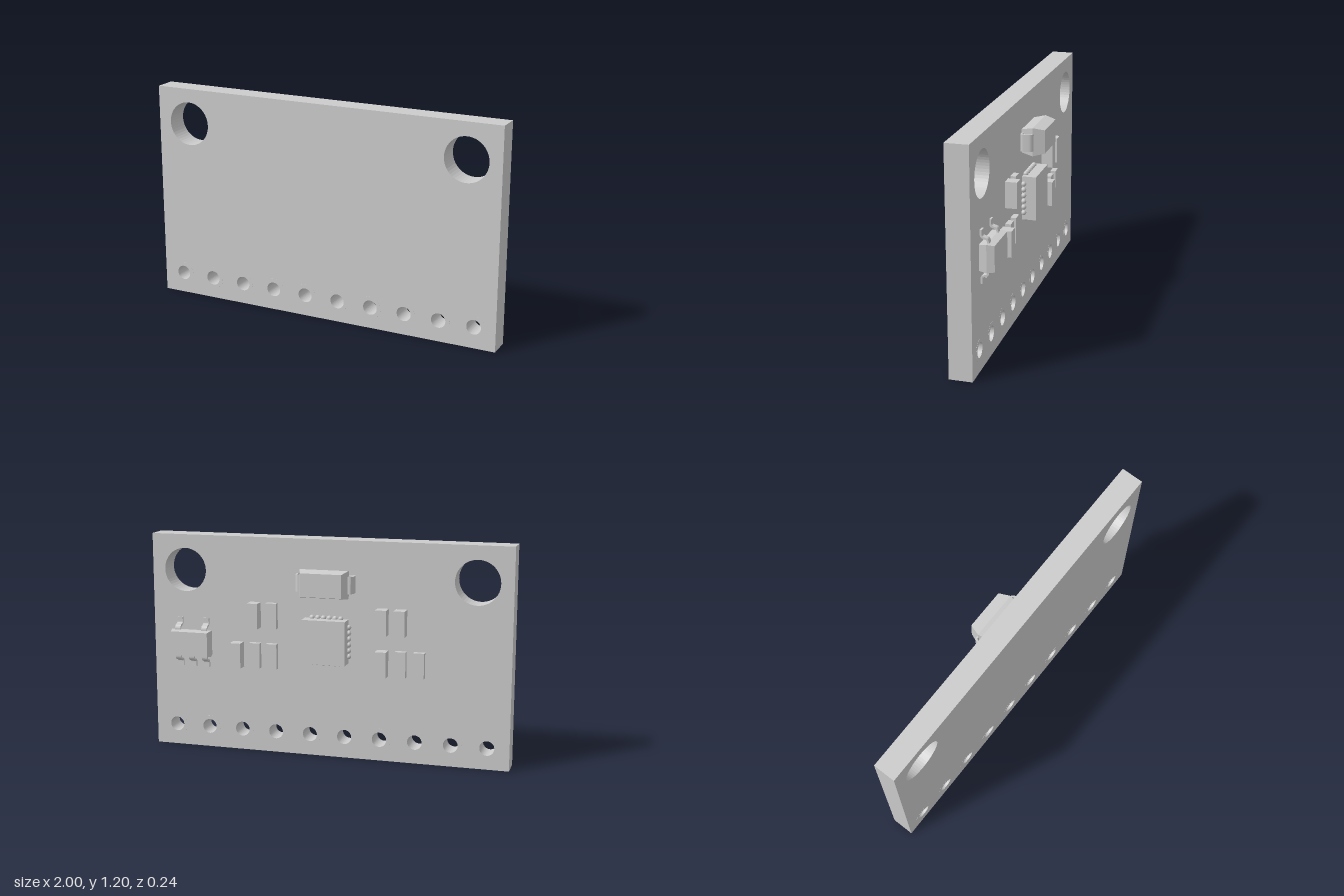
import * as THREE from 'three';

const material = new THREE.MeshStandardMaterial({ color: 0xcccccc });

function add(parent, name, geometry, x = 0, y = 0, z = 0) {
  const mesh = new THREE.Mesh(geometry, material);
  mesh.name = name;
  mesh.position.set(x, y, z);
  parent.add(mesh);
  return mesh;
}

function circle(x, y, r) {
  return new THREE.Path().absarc(x, y, r, 0, Math.PI * 2, true);
}

// Box standing out from the back face, given its footprint centre and height
function backBox(parent, name, x, y, w, h, d) {
  return add(parent, name, new THREE.BoxGeometry(w, h, d), x, y, -d / 2);
}

// Moulded package: rectangular base, wider waist and narrower top, rising towards -z
function mouldedBody(base, waist, top, height) {
  const g = new THREE.BoxGeometry(2, 2, 2, 1, 1, 2).toNonIndexed();
  const p = g.attributes.position;
  for (let i = 0; i < p.count; i++) {
    const z = p.getZ(i);
    const half = z > 0.5 ? base : z < -0.5 ? top : waist;
    p.setXYZ(i, p.getX(i) * half[0], p.getY(i) * half[1], (z - 1) * height / 2);
  }
  g.computeVertexNormals();
  return g;
}

// Bent metal strip: profile is [outward, height], outward is +y and height is -z
function leadGeometry(profile, thickness, width) {
  const curve = new THREE.CatmullRomCurve3(
    profile.map(([u, v]) => new THREE.Vector3(u, v, 0)), false, 'catmullrom', 0.3);
  const upper = [], lower = [];
  for (let i = 0; i <= 20; i++) {
    const p = curve.getPoint(i / 20), t = curve.getTangent(i / 20);
    const n = new THREE.Vector2(-t.y, t.x).multiplyScalar(thickness / 2);
    upper.push(new THREE.Vector2(p.x + n.x, p.y + n.y));
    lower.unshift(new THREE.Vector2(p.x - n.x, p.y - n.y));
  }
  const g = new THREE.ExtrudeGeometry(new THREE.Shape([...upper, ...lower]),
    { depth: width, bevelEnabled: false });
  g.translate(0, 0, -width / 2);
  return g.applyMatrix4(new THREE.Matrix4().makeBasis(
    new THREE.Vector3(0, 1, 0), new THREE.Vector3(0, 0, -1), new THREE.Vector3(-1, 0, 0)));
}

export function createModel() {
  const model = new THREE.Group();
  model.name = 'sensorBoard';
  const thickness = 0.122;
  const pinY = 0.117;
  const pinXs = Array.from({ length: 10 }, (_, i) => (i - 4.5) * 0.1955);

  // Circuit board with two mounting holes and a row of pin holes
  const outline = new THREE.Shape();
  outline.moveTo(-1, 0).lineTo(1, 0).lineTo(1, 1.195).lineTo(-1, 1.195).closePath();
  for (const x of [-0.81, 0.81]) outline.holes.push(circle(x, 1.0, 0.12));
  for (const x of pinXs) outline.holes.push(circle(x, pinY, 0.062));
  add(model, 'board', new THREE.ExtrudeGeometry(outline,
    { depth: thickness, bevelEnabled: false, curveSegments: 24 }));

  // Plated eyelets lining the pin holes, barely proud of both faces
  const ring = new THREE.Shape().absarc(0, 0, 0.062, 0, Math.PI * 2, false);
  ring.holes.push(circle(0, 0, 0.04));
  const eyelet = new THREE.ExtrudeGeometry(ring,
    { depth: thickness + 0.001, bevelEnabled: false, curveSegments: 24 });
  for (const x of pinXs) add(model, 'pinEyelet', eyelet, x, pinY, -0.0005);

  // Square sensor chip with six solder bumps on every side
  const chip = new THREE.Group();
  chip.name = 'sensorChip';
  chip.position.set(0, 0.65, 0);
  model.add(chip);
  backBox(chip, 'chipBody', 0, 0, 0.24, 0.24, 0.077);
  const bump = new THREE.SphereGeometry(0.014, 12, 8);
  for (let side = 0; side < 4; side++) {
    const row = new THREE.Group();
    row.name = 'solderRow';
    row.rotation.z = side * Math.PI / 2;
    chip.add(row);
    for (let i = 0; i < 6; i++) add(row, 'solderBump', bump, (i - 2.5) * 0.032, 0.124, -0.011);
  }

  // Large moulded capacitor with a wrapped lead on each end
  const capacitor = new THREE.Group();
  capacitor.name = 'largeCapacitor';
  capacitor.position.set(0, 0.965, 0);
  model.add(capacitor);
  add(capacitor, 'capacitorBody',
    mouldedBody([0.122, 0.063], [0.134, 0.076], [0.112, 0.063], 0.122));
  const wrapLead = leadGeometry(
    [[0.12, 0.062], [0.145, 0.062], [0.154, 0.05], [0.157, 0.015], [0.15, 0.006], [0.11, 0.006]],
    0.01, 0.092);
  for (const s of [-1, 1]) add(capacitor, 'capacitorLead', wrapLead).rotation.z = s * Math.PI / 2;

  // Five-legged regulator: two legs above, three below
  const regulator = new THREE.Group();
  regulator.name = 'regulator';
  regulator.position.set(0.768, 0.598, 0);
  model.add(regulator);
  add(regulator, 'regulatorBody',
    mouldedBody([0.106, 0.067], [0.114, 0.073], [0.106, 0.067], 0.078));
  const leg = leadGeometry(
    [[0.06, 0.041], [0.08, 0.041], [0.092, 0.035], [0.1, 0.012], [0.109, 0.006], [0.138, 0.006]],
    0.01, 0.032);
  for (const x of [-0.077, 0.077]) add(regulator, 'regulatorLeg', leg, x);
  for (const x of [-0.077, 0, 0.077]) add(regulator, 'regulatorLeg', leg, x).rotation.z = Math.PI;

  // Small upright components: x, y, height above the board
  const tall = 0.063, low = 0.03;
  for (const [x, y, d] of [
    [0.405, 0.77, tall], [0.308, 0.77, low],
    [0.505, 0.545, tall], [0.405, 0.545, low], [0.308, 0.545, low],
    [-0.31, 0.77, tall], [-0.41, 0.77, tall],
    [-0.31, 0.545, tall], [-0.41, 0.545, low], [-0.51, 0.545, low],
  ]) backBox(model, d === tall ? 'smallCapacitor' : 'resistor', x, y, 0.06, 0.14, d);

  return model;
}
